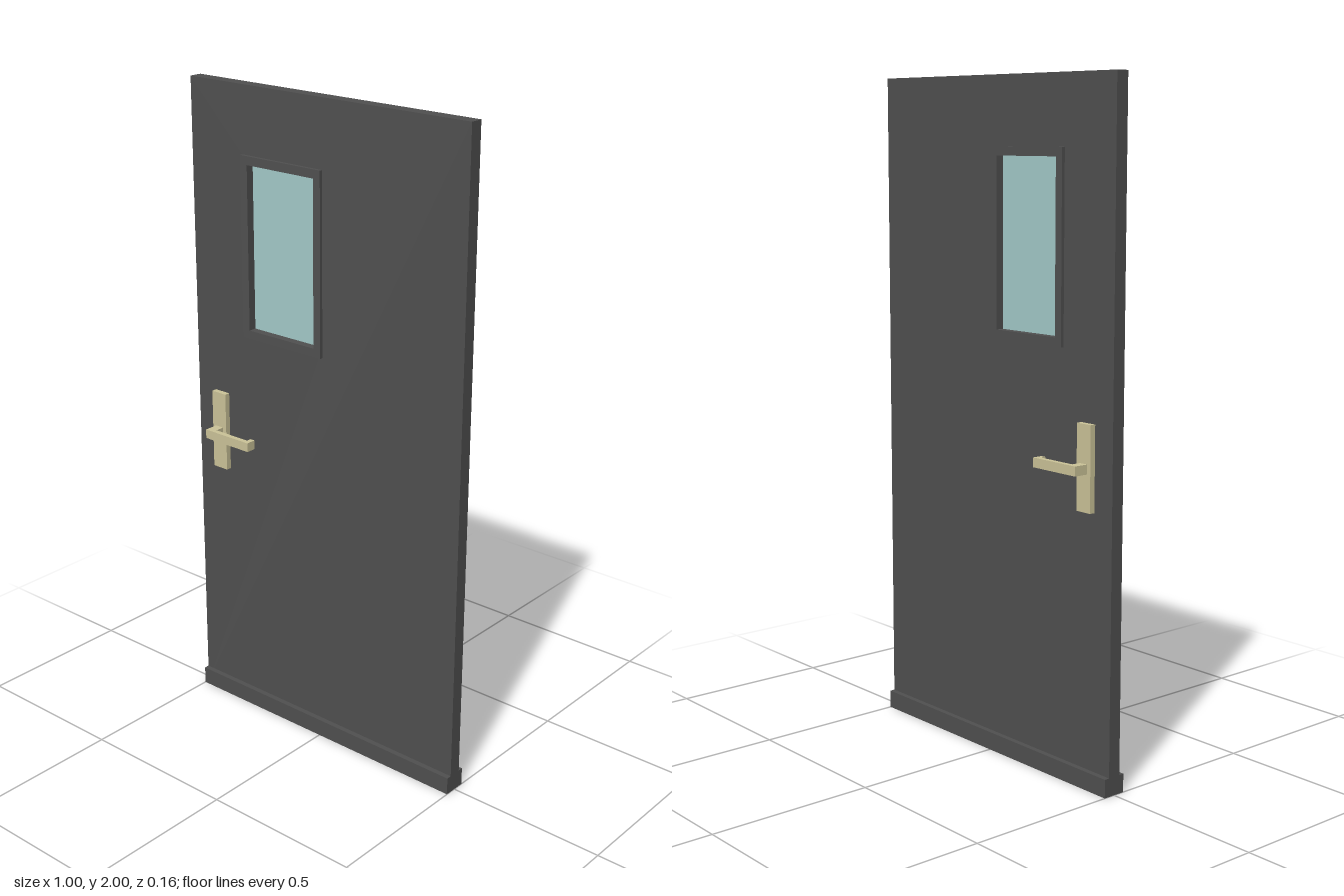
import * as THREE from 'three';

const paint = new THREE.MeshStandardMaterial({ color: 0x505050 });
const brass = new THREE.MeshStandardMaterial({ color: 0xcbc398 });
const glass = new THREE.MeshStandardMaterial({ color: 0xa3cac9 });

// Rectangle outline as a closed list of corners
function rect(x0, x1, y0, y1) {
  return [[x0, y0], [x1, y0], [x1, y1], [x0, y1]].map(([x, y]) => new THREE.Vector2(x, y));
}

// Rectangular panel with a rectangular opening, centred on z = 0
function panelWithOpening(name, outer, inner, depth) {
  const shape = new THREE.Shape(rect(...outer));
  shape.holes.push(new THREE.Path(rect(...inner)));
  const geometry = new THREE.ExtrudeGeometry(shape, { depth, bevelEnabled: false });
  geometry.translate(0, 0, -depth / 2);
  const mesh = new THREE.Mesh(geometry, paint);
  mesh.name = name;
  return mesh;
}

// Box given by its extents on each axis
function block(name, [x0, x1], [y0, y1], [z0, z1], material) {
  const mesh = new THREE.Mesh(new THREE.BoxGeometry(x1 - x0, y1 - y0, z1 - z0), material);
  mesh.position.set((x0 + x1) / 2, (y0 + y1) / 2, (z0 + z1) / 2);
  mesh.name = name;
  return mesh;
}

// Lever bent back towards the door; side is +1 for the front, -1 for the back
function lever(side) {
  const outline = [
    [-0.417, 0.02], [-0.417, 0.082], [-0.244, 0.082], [-0.244, 0.05],
    [-0.26, 0.05], [-0.26, 0.066], [-0.388, 0.066], [-0.388, 0.02],
  ].map(([x, z]) => new THREE.Vector2(x, -z * side));
  const geometry = new THREE.ExtrudeGeometry(new THREE.Shape(outline), { depth: 0.028, bevelEnabled: false });
  geometry.rotateX(-Math.PI / 2); // lay the outline flat, thickness upwards
  geometry.translate(0, 0.913, 0);
  const mesh = new THREE.Mesh(geometry, brass);
  mesh.name = 'lever';
  return mesh;
}

export function createModel() {
  const door = new THREE.Group();
  door.name = 'door';

  // Slab and bottom rail
  const opening = [-0.275, -0.025, 1.278, 1.774];
  door.add(panelWithOpening('doorLeaf', [-0.5, 0.5, 0, 2], [-0.29, -0.01, 1.26, 1.79], 0.04));
  door.add(block('bottomRail', [-0.5, 0.5], [0, 0.055], [-0.036, 0.036], paint));

  // Window
  door.add(panelWithOpening('windowFrame', [-0.3, 0, 1.252, 1.8], opening, 0.06));
  door.add(block('windowPane', [-0.276, -0.024], [1.277, 1.775], [-0.005, 0.005], glass));

  // Handle set on both faces
  for (const side of [1, -1]) {
    const handle = new THREE.Group();
    handle.name = side > 0 ? 'frontHandle' : 'backHandle';
    const depth = side > 0 ? [0.019, 0.037] : [-0.037, -0.019];
    handle.add(block('backplate', [-0.43, -0.375], [0.804, 1.052], depth, brass));
    handle.add(lever(side));
    door.add(handle);
  }
  return door;
}
